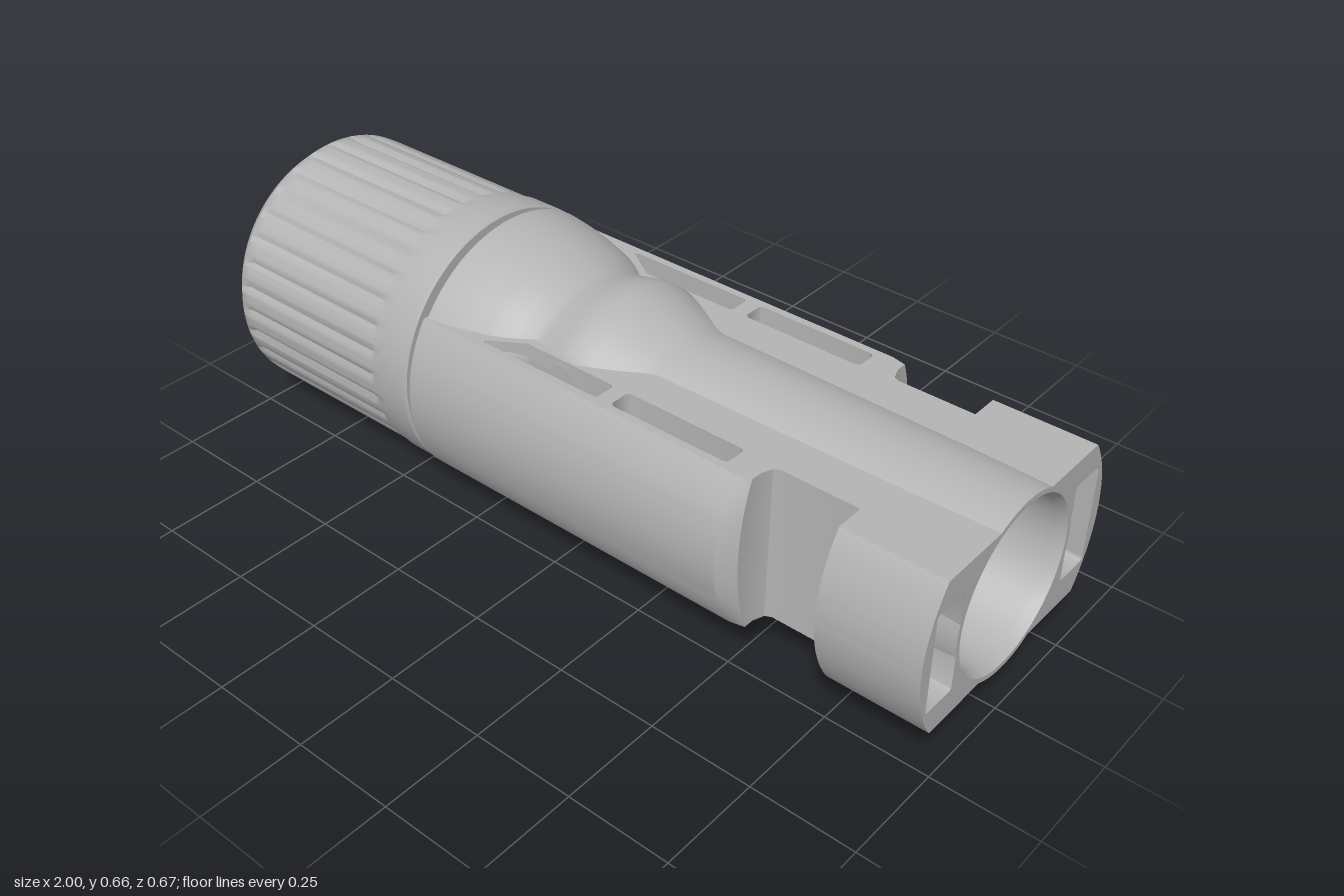
import * as THREE from 'three';
import { toCreasedNormals } from 'three/addons/utils/BufferGeometryUtils.js';

const AXIS_Y = 0.328;   // height of the long axis
const BORE = 0.19;      // radius of the through bore
const SIDE_R = 0.333;   // radius of the rounded flanks
const FLAT = 0.19;      // half height of the flat-topped body

// Apply a rule (v => void) to every vertex
function reshape(geometry, rule) {
  const p = geometry.attributes.position, v = new THREE.Vector3();
  for (let i = 0; i < p.count; i++) {
    v.fromBufferAttribute(p, i);
    rule(v);
    p.setXYZ(i, v.x, v.y, v.z);
  }
  return geometry;
}

// Revolve [x, radius] points around the x axis
function revolve(points, segments) {
  const profile = points.map(([x, r]) => new THREE.Vector2(r, x));
  return new THREE.LatheGeometry(profile, segments).rotateZ(-Math.PI / 2);
}

function roundedRect(x0, y0, x1, y1, r) {
  const p = new THREE.Path();
  p.absarc(x1 - r, y0 + r, r, -Math.PI / 2, 0);
  p.absarc(x1 - r, y1 - r, r, 0, Math.PI / 2);
  p.absarc(x0 + r, y1 - r, r, Math.PI / 2, Math.PI);
  p.absarc(x0 + r, y0 + r, r, Math.PI, Math.PI * 1.5);
  p.closePath();
  return p;
}

const polygon = (pts) => pts.map(([x, y]) => new THREE.Vector2(x, y));

export function createModel() {
  const model = new THREE.Group();
  const grey = new THREE.MeshStandardMaterial({ color: 0xb4b4b4 });
  grey.name = 'plastic grey';

  const add = (name, geometry, parent, crease = 0.6) => {
    const mesh = new THREE.Mesh(toCreasedNormals(geometry, crease), grey);
    mesh.name = name;
    parent.add(mesh);
    return mesh;
  };

  const connector = new THREE.Group();
  connector.name = 'connector';
  connector.position.y = AXIS_Y;
  model.add(connector);

  // Ribbed clamping nut with chamfered end
  const nut = revolve([
    [-1, BORE], [-1, 0.283], [-0.985, 0.3], [-0.955, 0.323], [-0.93, 0.324], [-0.5, 0.324],
    [-0.48, 0.324], [-0.45, 0.328], [-0.38, 0.328], [-0.375, 0.323], [-0.375, BORE], [-1, BORE],
  ], 256);
  reshape(nut, (v) => {
    const r = Math.hypot(v.y, v.z);
    if (r < 0.3 || v.x < -0.94 || v.x > -0.49) return;
    const groove = Math.max(0, Math.cos(32 * Math.atan2(v.z, v.y))) ** 2;
    const s = (r - 0.009 * groove) / r;
    v.y *= s;
    v.z *= s;
  });
  add('clampingNut', nut, connector, 0.7);

  // Neck, bell, hump and tube; flattened at the sides beside the slots
  const tube = revolve([
    [-0.375, BORE], [-0.375, 0.295], [-0.355, 0.295], [-0.355, 0.322], [-0.35, 0.327],
    [-0.3, 0.321], [-0.25, 0.311], [-0.2, 0.298], [-0.19, 0.295], [-0.15, 0.279],
    [-0.11, 0.259], [-0.09, 0.259], [-0.05, 0.268], [-0.02, 0.274], [0.01, 0.274],
    [0.05, 0.262], [0.1, 0.244], [0.15, 0.226], [0.18, 0.219], [0.78, 0.215],
    [0.8, 0.215], [1, 0.212], [1, 0.2], [0.975, BORE], [-0.375, BORE],
  ], 96);
  reshape(tube, (v) => {
    if (v.x < -0.195 || v.x > 0.79 || Math.hypot(v.y, v.z) < 0.2) return;
    const t = THREE.MathUtils.clamp((v.x + 0.19) / 0.08, 0, 1);
    const limit = THREE.MathUtils.lerp(0.255, 0.198, t);
    v.z = THREE.MathUtils.clamp(v.z, -limit, limit);
  });
  add('tube', tube, connector);

  // Plan outline of one flank, with its two slots
  const plan = new THREE.Shape(polygon([
    [-0.355, 0.1], [0.77, 0.1], [0.77, 0.205], [0.575, 0.205], [0.56, 0.212], [0.55, 0.24],
    [0.55, 0.3], [0.54, 0.31], [0.515, 0.333], [-0.355, 0.333],
  ]));
  plan.holes.push(
    new THREE.Path(polygon([
      [-0.11, 0.198], [0.13, 0.198], [0.137, 0.205], [0.137, 0.248], [0.13, 0.255],
      [-0.185, 0.255], [-0.19, 0.248],
    ])),
    roundedRect(0.175, 0.198, 0.48, 0.255, 0.012),
  );

  // End block section with its rectangular pocket
  const outer = Math.asin(FLAT / SIDE_R), inner = Math.asin(FLAT / 0.2);
  const section = new THREE.Shape();
  section.absarc(0, 0, SIDE_R, -outer, outer, false);
  section.absarc(0, 0, 0.2, inner, -inner, true);
  section.closePath();
  section.holes.push(roundedRect(0.208, -0.123, 0.3, 0.123, 0.008));

  for (const [side, turn] of [['left', 0], ['right', Math.PI]]) {
    const half = new THREE.Group();
    half.name = side === 'left' ? 'frontHalf' : 'backHalf';
    half.rotation.x = turn;
    connector.add(half);

    // Slotted flank, bent to the outer radius and hollowed for the bore
    const flank = new THREE.ExtrudeGeometry(plan, {
      depth: FLAT * 2, steps: 24, bevelEnabled: false, curveSegments: 4,
    }).rotateX(Math.PI / 2).translate(0, FLAT, 0);
    reshape(flank, (v) => {
      if (v.z < 0.15) {
        v.z = Math.sqrt(0.197 ** 2 - v.y ** 2);
      } else {
        const w = THREE.MathUtils.clamp((v.z - 0.255) / (SIDE_R - 0.255), 0, 1);
        v.z -= w * (SIDE_R - Math.sqrt(SIDE_R ** 2 - v.y ** 2));
      }
    });
    add('slottedFlank', flank, half);

    // End block beyond the locking notch
    const block = new THREE.ExtrudeGeometry(section, {
      depth: 0.24, bevelEnabled: false, curveSegments: 24,
    }).rotateY(-Math.PI / 2).translate(1, 0, 0);
    add('endBlock', block, half);

    // Floor of the pocket
    const floor = new THREE.BoxGeometry(0.04, 0.246, 0.092).translate(0.78, 0, 0.254);
    add('pocketFloor', floor, half);
  }

  return model;
}
